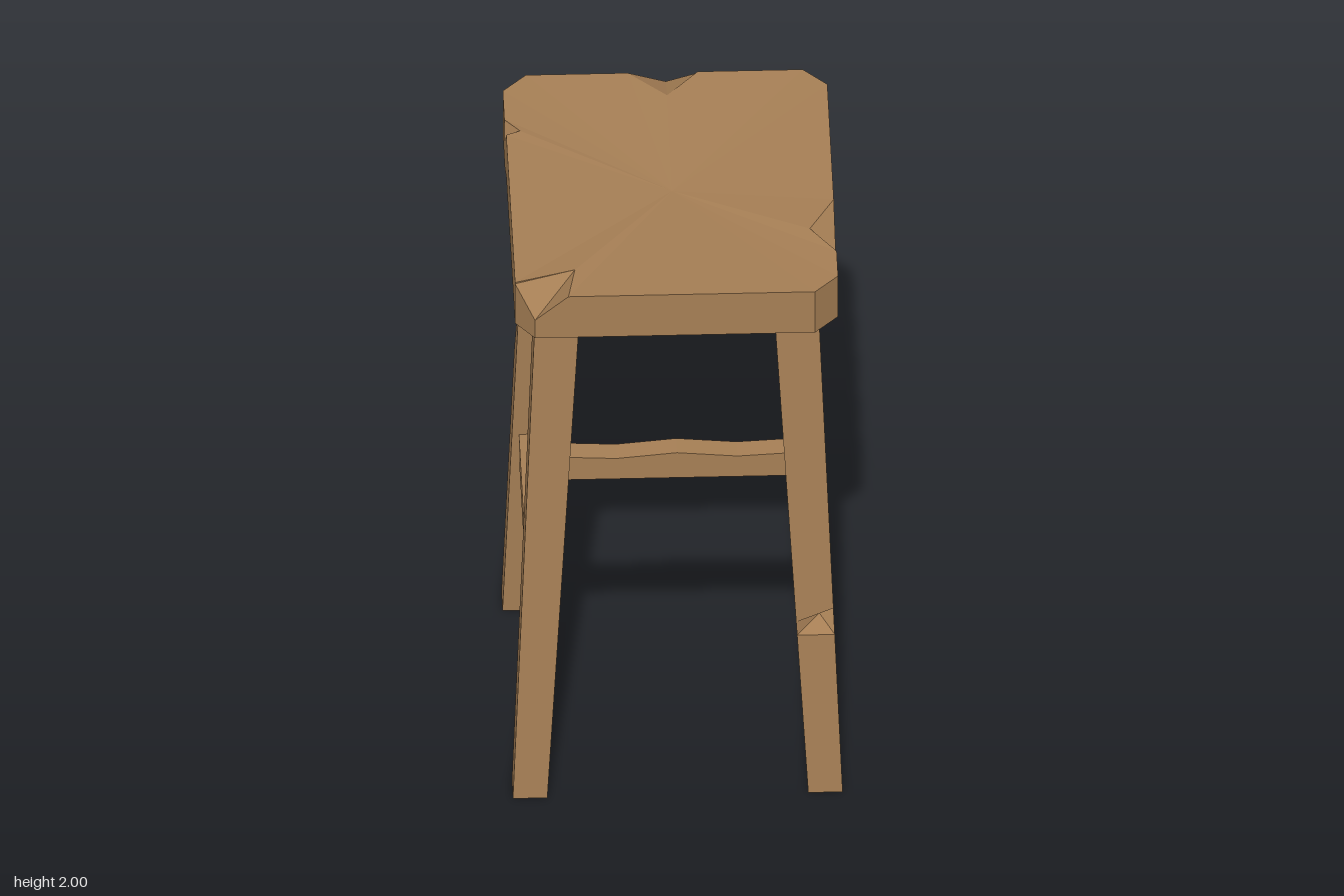
import * as THREE from 'three';

const wood = new THREE.MeshStandardMaterial({ color: 0xa67f55, flatShading: true });
wood.name = 'wood';

// Closed solid through rings of [x, y, z], listed bottom to top; each ring runs +x, -z, -x, +z.
function loft(rings, topCentre) {
  const pos = [];
  const tri = (...pts) => pts.forEach((p) => pos.push(...p));
  const mean = (ring) => [0, 1, 2].map((k) => ring.reduce((s, p) => s + p[k], 0) / ring.length);
  const first = rings[0], last = rings[rings.length - 1], n = first.length;
  const low = mean(first), high = topCentre || mean(last);
  for (let i = 0; i < n; i++) {
    const j = (i + 1) % n;
    for (let r = 0; r + 1 < rings.length; r++) {
      const a = rings[r][i], b = rings[r][j], c = rings[r + 1][j], d = rings[r + 1][i];
      tri(a, b, c);
      tri(a, c, d);
    }
    tri(low, first[j], first[i]);
    tri(high, last[i], last[j]);
  }
  const g = new THREE.BufferGeometry();
  g.setAttribute('position', new THREE.Float32BufferAttribute(pos, 3));
  g.computeVertexNormals();
  return g;
}

export function createModel() {
  const group = new THREE.Group();
  const add = (name, geometry) => {
    const mesh = new THREE.Mesh(geometry, wood);
    mesh.name = name;
    group.add(mesh);
    return mesh;
  };

  // Seat outline [x, z]; a chip adds [inner x, inner z, depth of the cut on the side]
  const outline = [
    [0.505, 0.50], [0.505, 0.37], [0.505, 0.31, 0.425, 0.25, 1.92], [0.505, 0.10],
    [0.505, -0.50], [0.43, -0.58],
    [0.10, -0.58], [0, -0.585, 0, -0.46, 1.96], [-0.12, -0.58],
    [-0.44, -0.58], [-0.515, -0.50],
    [-0.515, -0.35], [-0.515, -0.31, -0.468, -0.29, 1.94], [-0.512, -0.27],
    [-0.51, 0.50], [-0.45, 0.58, -0.32, 0.44, 1.91], [-0.345, 0.58],
    [0.43, 0.58],
  ];
  add('seat', loft([
    outline.map(([x, z]) => [x, 1.84, z]),
    outline.map(([x, z, , , cut = 1.995]) => [x, cut, z]),
    outline.map(([x, z, ix = x, iz = z]) => [ix, 2, iz]),
  ], [0, 1.97, 0]));

  // Tapered board under the seat
  const rect = (x, y, z) => [[x, y, z], [x, y, -z], [-x, y, -z], [-x, y, z]];
  add('seatUnderside', loft([rect(0.38, 1.79, 0.47), rect(0.46, 1.845, 0.54)]));

  // Splayed legs; some have a notch cut into one corner edge
  const corners = [[1, 1], [1, -1], [-1, -1], [-1, 1]];
  function leg(name, sx, sz, notch) {
    const top = 1.845, lerp = THREE.MathUtils.lerp;
    const ring = (y, cut = 0) => corners.map(([cx, cz], i) => {
      const t = y / top, c = notch && notch.corner === i ? cut : 0;
      const x = cx === sx ? lerp(0.518, 0.445, t) : lerp(0.41, 0.305, t);
      const z = cz === sz ? lerp(0.54, 0.458, t) : lerp(0.44, 0.34, t);
      return [sx * x - cx * c, y, sz * z - cz * c];
    });
    const rings = [ring(0)];
    if (notch) rings.push(ring(notch.from), ring(notch.y, notch.depth), ring(notch.to));
    rings.push(ring(top));
    add(name, loft(rings));
  }
  leg('frontLeftLeg', 1, 1, { corner: 0, from: 0.60, y: 0.65, to: 0.70, depth: 0.045 });
  leg('backLeftLeg', 1, -1, { corner: 2, from: 0.42, y: 0.48, to: 0.54, depth: 0.035 });
  leg('backRightLeg', -1, -1, { corner: 2, from: 1.0, y: 1.33, to: 1.39, depth: 0.03 });
  leg('frontRightLeg', -1, 1);

  // High rails at front and back; the front one has an uneven, hand-worn top
  const frontRail = new THREE.BoxGeometry(0.76, 0.09, 0.075, 4, 1, 1);
  const p = frontRail.attributes.position;
  for (let i = 0; i < p.count; i++) {
    if (p.getY(i) < 0) continue;
    const x = Math.abs(p.getX(i));
    if (x < 0.01) p.setY(i, 0.053);
    else if (x < 0.3) p.setY(i, 0.035);
  }
  frontRail.computeVertexNormals();
  add('frontRail', frontRail).position.set(0, 1.24, 0.43);
  add('backRail', new THREE.BoxGeometry(0.76, 0.09, 0.075)).position.set(0, 1.24, -0.43);

  // Low rails at the sides
  for (const s of [1, -1]) {
    add(s > 0 ? 'leftRail' : 'rightRail', new THREE.BoxGeometry(0.075, 0.09, 0.86))
      .position.set(s * 0.43, 0.677, 0);
  }

  return group;
}
